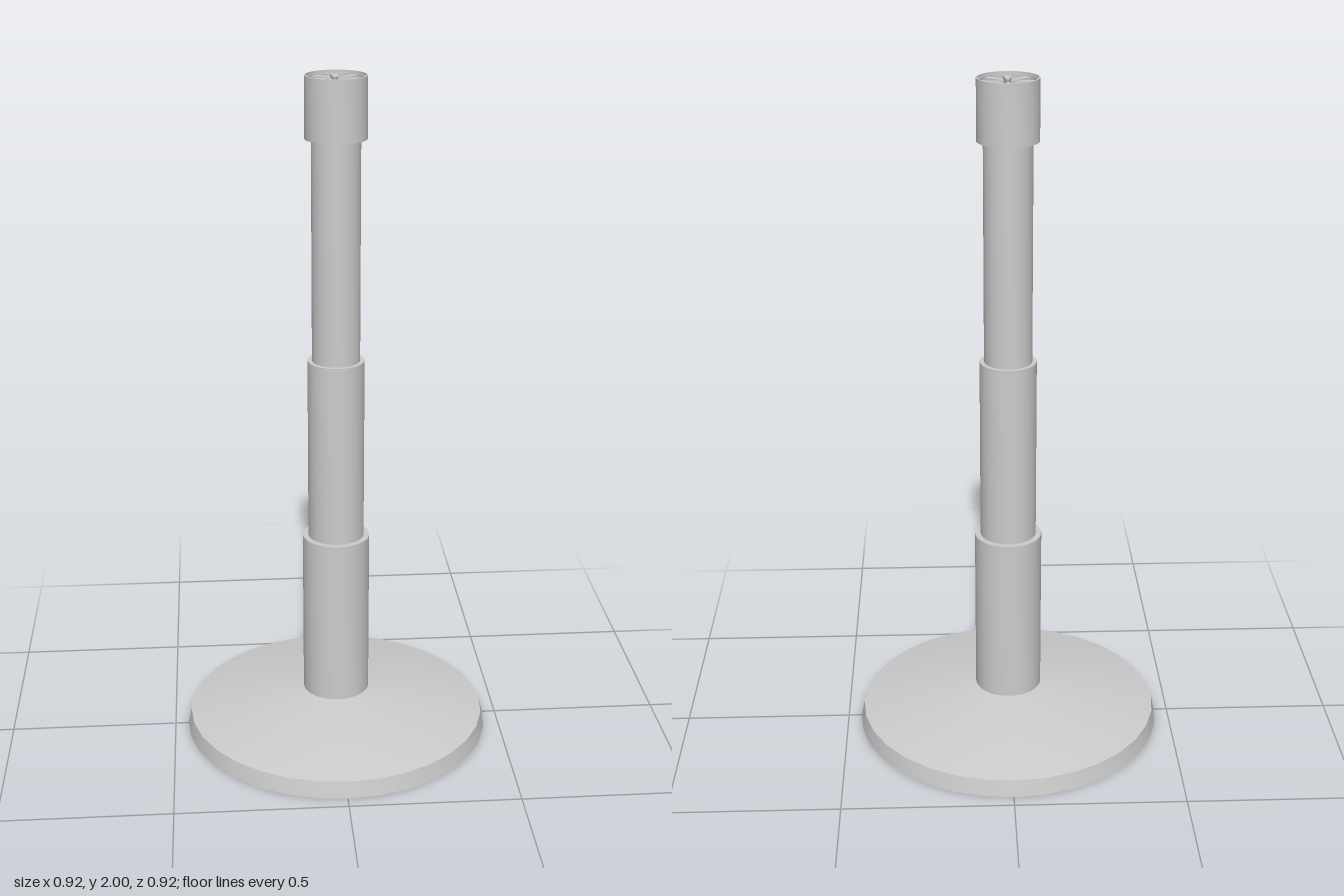
import * as THREE from 'three';
import { toCreasedNormals } from 'three/addons/utils/BufferGeometryUtils.js';

export function createModel() {
  const model = new THREE.Group();
  const material = new THREE.MeshStandardMaterial({ color: 0xcccccc });

  const add = (name, geometry, parent = model) => {
    const mesh = new THREE.Mesh(geometry, material);
    mesh.name = name;
    parent.add(mesh);
    return mesh;
  };

  // Turned part from [radius, height] points, listed bottom to top
  const turned = (name, points) => add(name, toCreasedNormals(
    new THREE.LatheGeometry(points.map(([r, y]) => new THREE.Vector2(r, y)), 32), 0.35));

  // Wide weighted foot with a shallow conical top
  turned('base', [[0, 0], [0.46, 0], [0.45, 0.05], [0.1, 0.12], [0, 0.12]]);

  // Telescoping post: each tube narrower than the one below
  const tubes = [
    ['lowerTube', 0.1, 0.11, 0.63],
    ['middleTube', 0.083, 0.63, 1.18],
    ['upperTube', 0.07, 1.18, 1.83],
  ];
  for (const [name, r, y0, y1] of tubes) {
    turned(name, [[0, y0], [r, y0], [r, y1], [0, y1]]);
  }

  // Collar at the top, with a stepped rim around a recessed floor
  turned('topCollar', [
    [0, 1.825], [0.088, 1.825], [0.088, 2], [0.084, 2],
    [0.084, 1.994], [0.08, 1.994], [0.08, 1.972], [0, 1.972],
  ]);

  // Eight tapered ribs radiating inside the collar
  const ribs = new THREE.Group();
  ribs.name = 'topRibs';
  const outline = new THREE.Shape();
  outline.moveTo(0.016, 0);
  outline.quadraticCurveTo(0.025, 0.006, 0.04, 0.008);
  outline.lineTo(0.08, 0.011);
  outline.lineTo(0.08, -0.011);
  outline.lineTo(0.04, -0.008);
  outline.quadraticCurveTo(0.025, -0.006, 0.016, 0);
  const ribGeometry = new THREE.ExtrudeGeometry(outline, {
    depth: 0.02, bevelEnabled: false, curveSegments: 4,
  }).rotateX(-Math.PI / 2);
  for (let i = 0; i < 8; i++) {
    const rib = add('topRib', ribGeometry, ribs);
    rib.position.y = 1.97;
    rib.rotation.y = (i * Math.PI) / 4;
  }
  model.add(ribs);

  return model;
}
